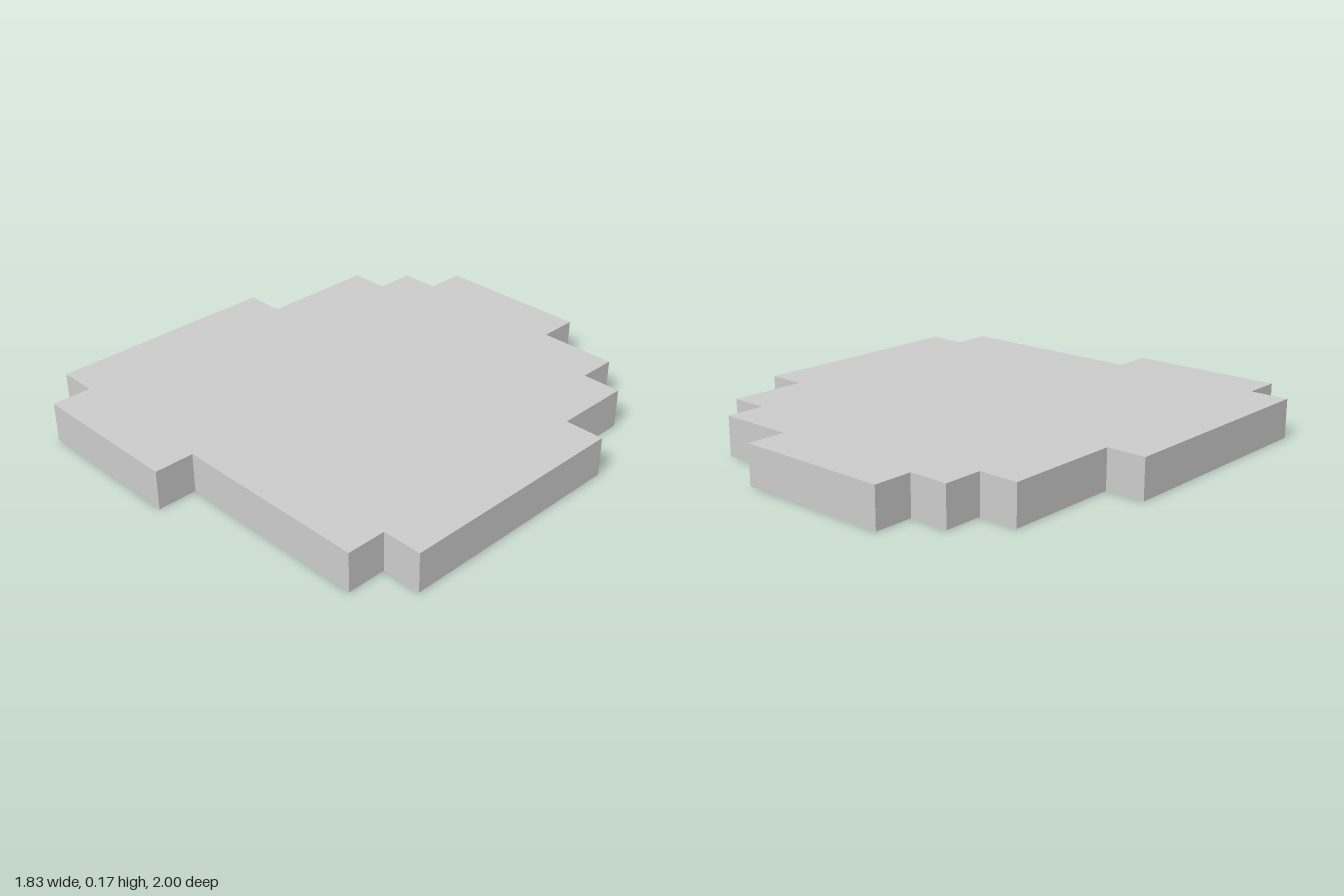
import * as THREE from 'three';

// The slab is laid out on a square grid of 11 columns by 12 rows.
const CELL = 1 / 6, COLS = 11, ROWS = 12;

// Stepped outline as [column, row] corners; row 0 is the back edge.
const OUTLINE = [
  [3, 0], [7, 0], [7, 1], [9, 1], [9, 2], [10, 2], [10, 4], [11, 4],
  [11, 10], [10, 10], [10, 11], [5, 11], [5, 12], [1, 12], [1, 11],
  [0, 11], [0, 5], [1, 5], [1, 2], [2, 2], [2, 1], [3, 1],
];

export function createModel() {
  const group = new THREE.Group();
  group.name = 'steppedSlab';

  const shape = new THREE.Shape(OUTLINE.map(([col, row]) =>
    new THREE.Vector2((col - COLS / 2) * CELL, (ROWS / 2 - row) * CELL)));

  // Extrude one cell thick, then lay flat with the underside on the ground
  const geometry = new THREE.ExtrudeGeometry(shape, { depth: CELL, bevelEnabled: false });
  geometry.rotateX(-Math.PI / 2);

  const slab = new THREE.Mesh(geometry,
    new THREE.MeshStandardMaterial({ color: 0xcccccc, flatShading: true }));
  slab.name = 'slab';
  group.add(slab);
  return group;
}
